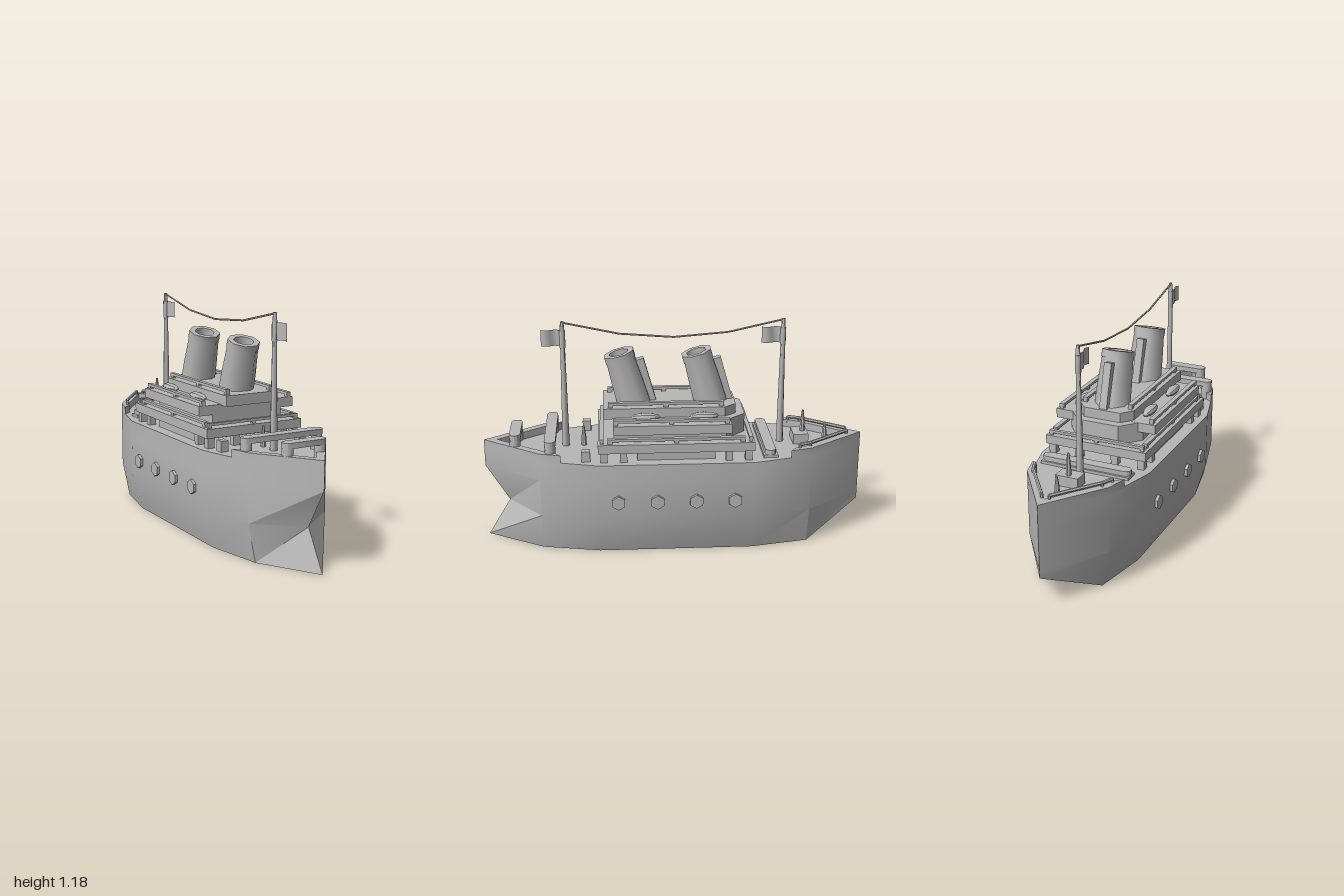
import * as THREE from 'three';
import { toCreasedNormals } from 'three/addons/utils/BufferGeometryUtils.js';

const grey = new THREE.MeshStandardMaterial({ color: 0xb8b8b8 });
grey.name = 'hull grey';
const greyThin = new THREE.MeshStandardMaterial({ color: 0xb8b8b8, side: THREE.DoubleSide });
greyThin.name = 'flag grey';

export function createModel() {
  const model = new THREE.Group();
  model.name = 'steamship';

  const add = (name, geo, crease = 0.5, mat = grey) => {
    const mesh = new THREE.Mesh(toCreasedNormals(geo, crease), mat);
    mesh.name = name;
    model.add(mesh);
    return mesh;
  };
  // Box given by its limits
  const box = (name, x0, x1, y0, y1, z0, z1) =>
    add(name, new THREE.BoxGeometry(x1 - x0, y1 - y0, z1 - z0)
      .translate((x0 + x1) / 2, (y0 + y1) / 2, (z0 + z1) / 2));
  // Horizontal slab from an outline of [x, z] points
  const slab = (name, pts, y0, y1) => {
    const shape = new THREE.Shape(pts.map(([x, z]) => new THREE.Vector2(x, z)));
    const geo = new THREE.ExtrudeGeometry(shape, { depth: y1 - y0, bevelEnabled: false });
    return add(name, geo.rotateX(Math.PI / 2).translate(0, y1, 0));
  };
  const post = (name, x, z, y0, y1, rTop, rBottom, sides = 8) =>
    add(name, new THREE.CylinderGeometry(rTop, rBottom, y1 - y0, sides).translate(x, (y0 + y1) / 2, z), 0.9);
  // Straight rod between two points
  const rod = (name, a, b, r) => {
    const p = new THREE.Vector3(...a), q = new THREE.Vector3(...b);
    const mesh = add(name, new THREE.CylinderGeometry(r, r, p.distanceTo(q), 6), 1.1);
    mesh.position.copy(p).add(q).multiplyScalar(0.5);
    mesh.quaternion.setFromUnitVectors(new THREE.Vector3(0, 1, 0), q.sub(p).normalize());
  };

  // Hull: rings from keel to deck, each running bow, left side, stern, right side
  const ring = (y, bowZ, w1, w, sternY = y) => {
    const half = [[w1, y, 0.7], [w, y, 0.4], [w, y, -0.4], [w1, y, -0.7]];
    return [[0, y, bowZ], ...half, [0, sternY, -1],
      ...half.slice().reverse().map(([x, h, z]) => [-x, h, z])];
  };
  const rings = [
    ring(0, 1, 0.18, 0.24, 0.16),
    ring(0.2, 0.88, 0.22, 0.3),
    ring(0.4, 1, 0.22, 0.3),
    ring(0.505, 1, 0.22, 0.3),
  ];
  const n = 10, index = [];
  for (let j = 0; j < rings.length - 1; j++) {
    for (let i = 0; i < n; i++) {
      const a = j * n + i, b = j * n + (i + 1) % n;
      index.push(a, b, b + n, a, b + n, a + n);
    }
  }
  const top = (rings.length - 1) * n;
  for (let i = 0; i < 5; i++) {
    const l0 = i, l1 = i + 1, r0 = (n - i) % n, r1 = n - i - 1;
    if (i > 0) {
      index.push(l0, r0, r1);
      index.push(top + l0, top + r1, top + r0);
    }
    if (i < 4) {
      index.push(l0, r1, l1);
      index.push(top + l0, top + l1, top + r1);
    }
  }
  const hull = new THREE.BufferGeometry();
  hull.setAttribute('position', new THREE.Float32BufferAttribute(rings.flat(2), 3));
  hull.setIndex(index);
  add('hull', hull, 0.4);

  // Raised bulwarks round the bow and stern
  for (const [s, name] of [[1, 'bowBulwark'], [-1, 'sternBulwark']]) {
    slab(name, [[0.25, 0.59], [0.22, 0.7], [0, 1], [-0.22, 0.7], [-0.25, 0.59],
      [-0.21, 0.62], [-0.185, 0.68], [0, 0.93], [0.185, 0.68], [0.21, 0.62]]
      .map(([x, z]) => [x, z * s]), 0.5, 0.545);
  }

  // Portholes
  for (const s of [-1, 1]) {
    for (const z of [-0.3, -0.1, 0.1, 0.3]) {
      add('porthole', new THREE.CylinderGeometry(0.038, 0.038, 0.03, 6, 1, false, Math.PI / 6)
        .rotateZ(Math.PI / 2).translate(s * 0.3, 0.3, z));
    }
  }

  // Round-ended bars across the deck
  const roundBar = (name, w, z, r, y0, y1) => {
    const pts = [];
    for (let i = 0; i <= 6; i++) {
      const a = -Math.PI / 2 + i * Math.PI / 6;
      pts.push([w - r + r * Math.cos(a), z + r * Math.sin(a)]);
    }
    slab(name, [...pts, ...pts.slice().reverse().map(([x, zz]) => [-x, zz])], y0, y1);
  };
  for (const [w, z] of [[0.12, 0.83], [0.23, 0.645]]) {
    roundBar('bowBar', w, z, 0.029, 0.58, 0.608);
    for (const s of [-1, 1]) post('bowBarPost', s * (w - 0.03), z, 0.5, 0.585, 0.028, 0.028, 10);
  }
  box('sternBarBase', -0.24, 0.24, 0.5, 0.52, -0.525, -0.45);
  roundBar('sternBar', 0.24, -0.487, 0.028, 0.515, 0.545);

  // Small deck fittings
  for (const s of [-1, 1]) box('deckLocker', s * 0.225 - 0.02, s * 0.225 + 0.02, 0.5, 0.56, 0.44, 0.485);
  box('sternHatch', -0.06, 0.06, 0.5, 0.56, -0.71, -0.63);
  for (const [z, y0, y1] of [[0.475, 0.5, 0.61], [-0.685, 0.55, 0.675], [-0.805, 0.5, 0.605]]) {
    post('bollard', 0, z, y0, (y0 + y1) / 2, 0.012, 0.014, 6);
    post('bollardTip', 0, z, (y0 + y1) / 2, y1, 0.005, 0.012, 6);
  }

  // Stern rail
  for (const s of [-1, 1]) {
    const path = [[s * 0.21, 0.562, -0.64], [s * 0.185, 0.562, -0.7], [s * 0.02, 0.562, -0.92]];
    for (let i = 0; i < 2; i++) rod('sternRail', path[i], path[i + 1], 0.009);
    for (const [x, y, z] of path) rod('sternRailPost', [x, 0.5, z], [x, y, z], 0.008);
  }

  // Deckhouse tiers
  const chamfered = (w, back, front, wBack, cut) => [
    [w, front], [w, back + cut], [wBack, back], [-wBack, back], [-w, back + cut], [-w, front]];
  box('lowerHouse', -0.235, 0.235, 0.5, 0.57, -0.2, 0.2);
  box('lowerDeck', -0.275, 0.275, 0.558, 0.605, -0.4, 0.4);
  slab('middleHouse', chamfered(0.2, -0.36, 0.32, 0.11, 0.1), 0.6, 0.704);
  box('boatDeck', -0.275, 0.275, 0.656, 0.705, -0.28, 0.32);
  slab('topHouse', chamfered(0.15, -0.315, 0.37, 0.1, 0.06), 0.7, 0.755);
  for (const s of [-1, 1]) {
    for (const z of [-0.37, -0.27, 0.27, 0.37]) {
      box('deckPillar', s * 0.245 - 0.018, s * 0.245 + 0.018, 0.5, 0.56, z - 0.018, z + 0.018);
    }
    for (const x of [-0.1, 0.1]) box('deckPillar', x - 0.018, x + 0.018, 0.5, 0.56, s * 0.37 - 0.018, s * 0.37 + 0.018);

    // Rails along each deck edge
    const sideRail = (x, y, z0, z1) => {
      box('sideRail', x - 0.012, x + 0.012, y + 0.012, y + 0.026, z0, z1);
      for (const z of [z0, (z0 + z1) / 2 - 0.012, z1 - 0.024]) {
        box('sideRailPost', x - 0.01, x + 0.01, y - 0.002, y + 0.013, z, z + 0.024);
      }
    };
    sideRail(s * 0.25, 0.605, -0.35, 0.35);
    sideRail(s * 0.25, 0.705, -0.27, 0.32);
    sideRail(s * 0.125, 0.755, -0.25, 0.345);
    box('endRail', -0.26, 0.26, 0.617, 0.631, s * 0.38 - 0.01, s * 0.38 + 0.01);
    for (const x of [-0.25, 0, 0.25]) box('endRailPost', x - 0.01, x + 0.01, 0.6, 0.62, s * 0.38 - 0.008, s * 0.38 + 0.008);

    // Lifeboats: pointed hulls made from a stretched sphere
    for (const z of [-0.145, 0.155]) {
      const boat = new THREE.SphereGeometry(1, 8, 6);
      boat.rotateX(Math.PI / 2).scale(0.028, 0.022, 0.075);
      add('lifeboat', boat.translate(s * 0.19, 0.723, z), 0.7);
    }
  }

  // Raked funnels with open tops and a pipe behind each
  for (const z of [0.21, -0.19]) {
    const funnel = new THREE.Group();
    funnel.name = 'funnel';
    const profile = [[0.092, -0.03], [0.088, 0.1], [0.08, 0.235], [0.083, 0.235], [0.083, 0.275],
      [0.052, 0.275], [0.048, 0.2], [0, 0.2]].map(([r, y]) => new THREE.Vector2(r, y));
    const stack = add('funnelStack', new THREE.LatheGeometry(profile, 8, Math.PI / 8), 0.9);
    const pipe = box('steamPipe', -0.02, 0.02, -0.02, 0.215, -0.115, -0.06);
    funnel.add(stack, pipe);
    funnel.position.set(0, 0.745, z);
    funnel.rotation.x = 0.275;
    model.add(funnel);
  }

  // Masts with flags flying forward
  for (const z of [0.57, -0.565]) {
    post('mast', 0, z, 0.5, 1.06, 0.012, 0.019);
    post('mastTop', 0, z, 1.04, 1.13, 0.015, 0.015);
    post('mastTip', 0, z, 1.12, 1.178, 0.009, 0.013);
    const flag = new THREE.PlaneGeometry(0.1, 0.085, 6, 1).rotateY(-Math.PI / 2);
    const p = flag.attributes.position;
    for (let i = 0; i < p.count; i++) p.setX(i, 0.008 * Math.sin(p.getZ(i) * 70));
    add('flag', flag.translate(0, 1.092, z + 0.06), 1, greyThin);
  }

  // Wire sagging between the mast heads
  const wire = [[0.57, 1.173], [0.28, 1.11], [0, 1.088], [-0.28, 1.11], [-0.565, 1.173]];
  for (let i = 0; i < 4; i++) {
    rod('mastWire', [0, wire[i][1], wire[i][0]], [0, wire[i + 1][1], wire[i + 1][0]], 0.005);
  }
  return model;
}
